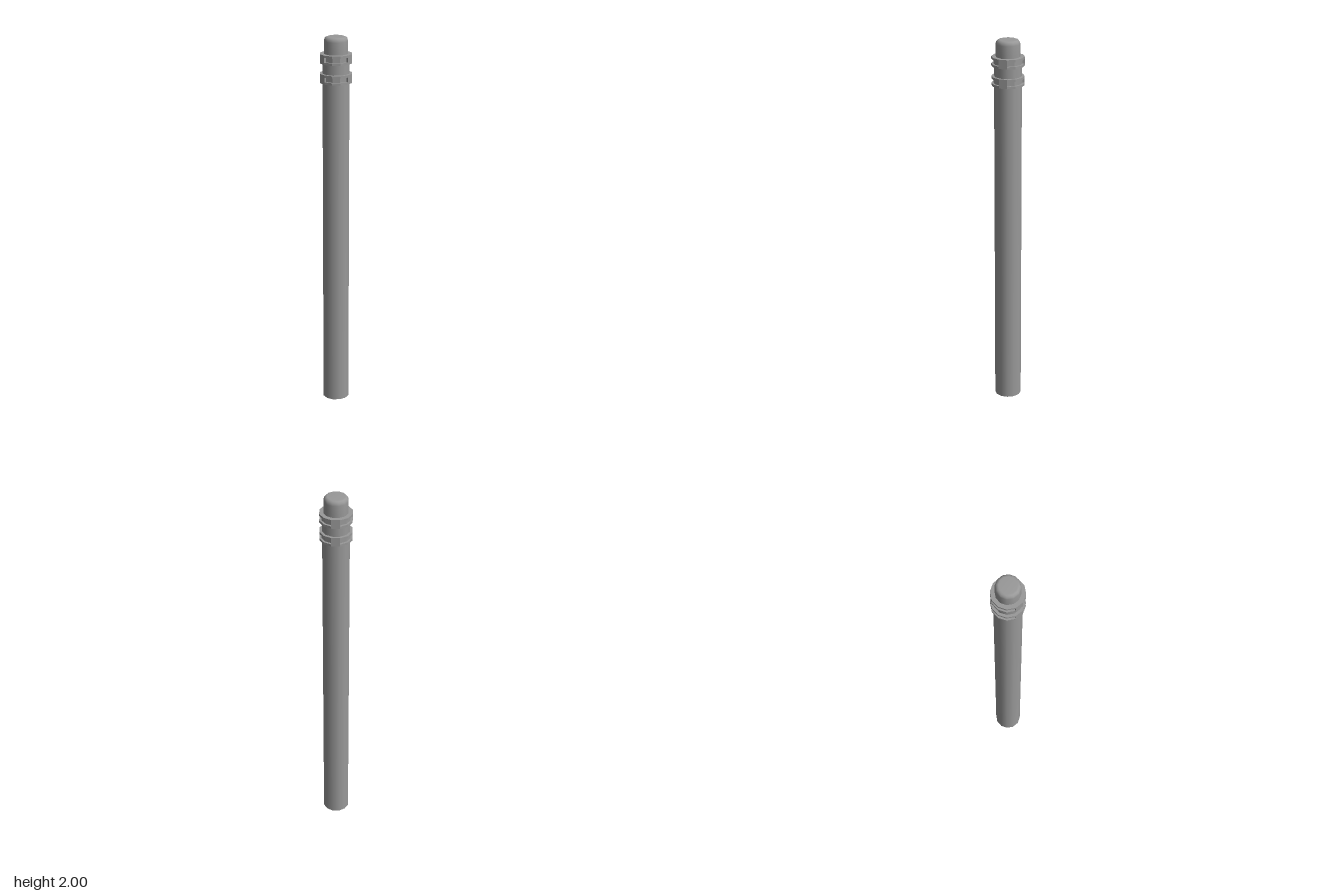
import * as THREE from 'three';

const SIDES = 12;

export function createModel() {
  const model = new THREE.Group();
  model.name = 'post';
  const grey = new THREE.MeshStandardMaterial({ color: 0x999999 });
  grey.name = 'grey';
  const ringGrey = grey.clone();
  ringGrey.name = 'ring grey';
  ringGrey.flatShading = true;

  const add = (parent, name, geometry, y, material = grey) => {
    const mesh = new THREE.Mesh(geometry, material);
    mesh.name = name;
    mesh.position.y = y;
    parent.add(mesh);
    return mesh;
  };
  const drum = (r, h) => new THREE.CylinderGeometry(r, r, h, SIDES);

  // Long shaft, running up to the upper ring
  add(model, 'shaft', drum(0.071, 1.89), 0.945);

  // Narrower cap with a rounded top edge
  const capProfile = [[0.063, 1.88], [0.063, 1.93], [0.063, 1.977], [0.06, 1.989], [0.053, 1.997], [0.044, 2], [0, 2]]
    .map(([r, y]) => new THREE.Vector2(r, y));
  add(model, 'cap', new THREE.LatheGeometry(capProfile, SIDES), 0);

  // Rings: two flanges around a recessed band, bridged by three ribs
  const outer = 0.085, inner = 0.074, height = 0.048, flange = 0.012;
  const ribShape = (start) => {
    const at = (r, deg) => {
      const a = THREE.MathUtils.degToRad(deg);
      return new THREE.Vector2(r * Math.cos(a), -r * Math.sin(a));
    };
    return new THREE.Shape([at(0.06, start + 30), at(outer, start + 30), at(outer, start), at(0.06, start)]);
  };
  [['lowerRing', 1.788], ['upperRing', 1.889]].forEach(([name, y]) => {
    const ring = new THREE.Group();
    ring.name = name;
    ring.position.y = y;
    for (const s of [-1, 1]) add(ring, 'flange', drum(outer, flange), s * (height - flange) / 2, ringGrey);
    add(ring, 'recessedBand', drum(inner, height - flange), 0, ringGrey);
    for (const start of [30, 150, 270]) {
      const depth = height - 2 * flange;
      const rib = new THREE.ExtrudeGeometry(ribShape(start), { depth, bevelEnabled: false });
      rib.rotateX(-Math.PI / 2);
      add(ring, 'rib', rib, -depth / 2, ringGrey);
    }
    model.add(ring);
  });

  return model;
}
